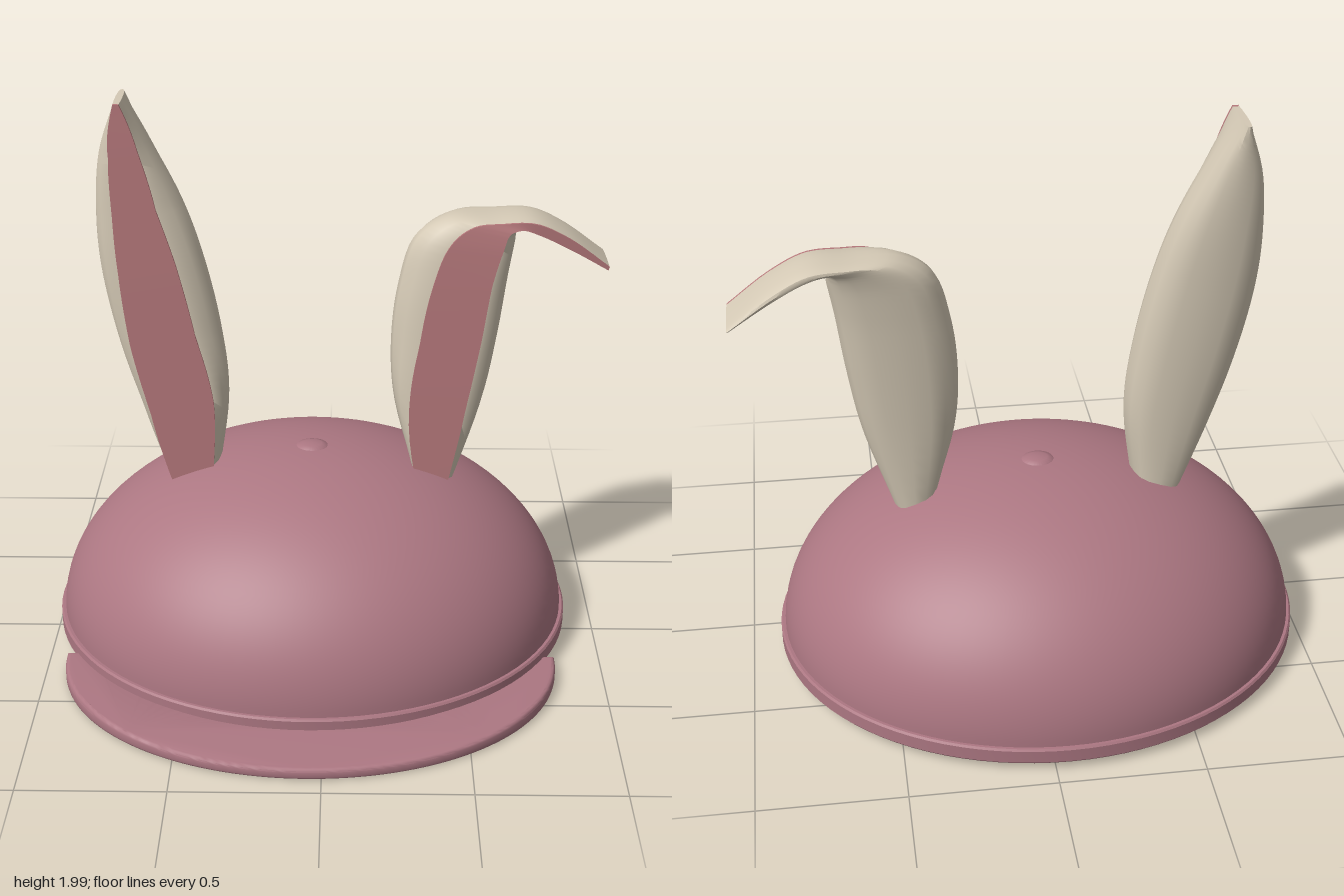
import * as THREE from 'three';
import { toCreasedNormals } from 'three/addons/utils/BufferGeometryUtils.js';

const CX = -0.05, CZ = -0.107, SQUASH = 0.88;
const shell = new THREE.MeshStandardMaterial({ color: 0xac7782 });
const fur = new THREE.MeshStandardMaterial({ color: 0xd4c9b5 });
const lining = new THREE.MeshStandardMaterial({ color: 0xb5787b });

function addMesh(parent, name, geometry, material) {
  const mesh = new THREE.Mesh(geometry, material);
  mesh.name = name;
  parent.add(mesh);
  return mesh;
}

// Lathe around the cap's axis, slightly shorter front to back
function capLathe(points, crease) {
  const pts = points.map(([r, y]) => new THREE.Vector2(r, y));
  const geo = new THREE.LatheGeometry(pts, 96);
  geo.scale(1, 1, SQUASH);
  geo.translate(CX, 0, CZ);
  return toCreasedNormals(geo, crease);
}

// Quarter-ellipse profile, from rim to crown or back
function domeArc(r, y0, h, n, down) {
  return Array.from({ length: n + 1 }, (_, i) => {
    const a = (down ? 1 - i / n : i / n) * Math.PI / 2;
    return [Math.max(r * Math.cos(a), 0), y0 + h * Math.sin(a)];
  });
}

// Crescent brim following the rim on its inner edge
function brimGeometry() {
  const shape = new THREE.Shape();
  shape.absellipse(CX, 0.28, 0.865, 0.64, 0, Math.PI, false);
  const rx = 0.915, rz = 0.805, start = Math.asin((0.28 - CZ) / rz);
  shape.absellipse(CX, CZ, rx, rz, Math.PI - start, start, true);
  const geo = new THREE.ExtrudeGeometry(shape, {
    depth: 0.026, bevelThickness: 0.014, bevelSize: 0.014, bevelSegments: 3, curveSegments: 64,
  });
  geo.rotateX(Math.PI / 2);
  geo.translate(0, 0.041, 0);
  // thin the brim towards its front edge
  const p = geo.attributes.position;
  for (let i = 0; i < p.count; i++) {
    const t = Math.max(0, (p.getZ(i) - 0.6) / 0.33);
    p.setY(i, p.getY(i) * (1 - 0.25 * t));
  }
  return toCreasedNormals(geo, 0.7);
}

// Ear stations: left x, left y, right x, right y, lining start and end across the width
const uprightEar = [
  [-0.55, 0.57, -0.39, 0.60, 0.02, 0.88],
  [-0.66, 0.86, -0.35, 0.92, 0.11, 0.84],
  [-0.74, 1.12, -0.375, 1.18, 0.14, 0.77],
  [-0.79, 1.38, -0.435, 1.45, 0.20, 0.76],
  [-0.80, 1.58, -0.50, 1.64, 0.23, 0.73],
  [-0.78, 1.80, -0.60, 1.84, 0.25, 0.80],
  [-0.715, 1.99, -0.69, 1.99, 0.10, 0.90],
];
const foldedEar = [
  [0.33, 0.58, 0.46, 0.57, 0.02, 0.82],
  [0.245, 0.90, 0.565, 0.90, 0.17, 0.80],
  [0.232, 1.12, 0.61, 1.14, 0.26, 0.83],
  [0.255, 1.33, 0.64, 1.36, 0.30, 0.84],
  [0.31, 1.50, 0.66, 1.48, 0.34, 0.87],
  [0.42, 1.573, 0.668, 1.53, 0.35, 0.87],
  [0.58, 1.58, 0.685, 1.543, 0.30, 0.90],
  [0.72, 1.577, 0.735, 1.525, 0.20, 0.95],
  [0.84, 1.52, 0.835, 1.475, 0.15, 0.95],
  [0.99, 1.405, 0.985, 1.39, 0.10, 0.90],
];

// Loft a cross-section (u across the ear, v front to back) along the stations
function loftEar(stations, section, steps, zBase, zTip) {
  const curve = (k) => new THREE.CatmullRomCurve3(
    stations.map((s) => new THREE.Vector3(s[k], s[k + 1], 0)), false, 'centripetal');
  const [left, right, panel] = [curve(0), curve(2), curve(4)];
  const pos = [], idx = [];
  let n = 0;
  for (let j = 0; j <= steps; j++) {
    const t = j / steps;
    const l = left.getPoint(t), r = right.getPoint(t);
    const s = t * (stations.length - 1), k = Math.min(Math.floor(s), stations.length - 2);
    const mix = (c) => THREE.MathUtils.lerp(stations[k][c], stations[k + 1][c], s - k);
    const ring = section(mix(4), mix(5));
    n = ring.length;
    const zf = THREE.MathUtils.lerp(zBase[0], zTip[0], t);
    const zb = THREE.MathUtils.lerp(zBase[1], zTip[1], t);
    for (const [u, v] of ring) {
      const p = l.clone().lerp(r, u);
      pos.push(p.x, p.y, zf + (zb - zf) * v);
    }
  }
  for (let j = 0; j < steps; j++) {
    for (let i = 0; i < n; i++) {
      const a = j * n + i, b = j * n + (i + 1) % n;
      idx.push(a, a + n, b + n, a, b + n, b);
    }
  }
  // end caps
  const top = steps * n;
  for (let i = 1; i < n - 1; i++) idx.push(0, i, i + 1, top, top + i + 1, top + i);
  const geo = new THREE.BufferGeometry();
  geo.setAttribute('position', new THREE.Float32BufferAttribute(pos, 3));
  geo.setIndex(idx);
  return toCreasedNormals(geo, 0.75);
}

const furSection = (a, b) => [
  [a, 0], [a * 0.4, 0.14], [0.02, 0.32], [0, 0.5], [0.05, 0.74], [0.14, 0.9], [0.28, 0.98], [0.5, 1],
  [0.72, 0.98], [0.86, 0.9], [0.95, 0.74], [1, 0.5], [0.98, 0.32], [1 - (1 - b) * 0.4, 0.14], [b, 0],
];
const liningSection = (a, b) => [[b, 0.02], [b, -0.05], [a, -0.05], [a, 0.02]];

function makeEar(name, stations, zBase, zTip) {
  const ear = new THREE.Group();
  ear.name = name;
  addMesh(ear, 'earFur', loftEar(stations, furSection, 48, zBase, zTip), fur);
  addMesh(ear, 'earLining', loftEar(stations, liningSection, 48, zBase, zTip), lining);
  return ear;
}

export function createModel() {
  const model = new THREE.Group();
  model.name = 'rabbitEarCap';

  // hollow dome, outer wall then inner wall
  const dome = [...domeArc(0.93, 0.08, 0.633, 32, false).reverse(),
    ...domeArc(0.912, 0.06, 0.635, 32, true).reverse()].reverse();
  addMesh(model, 'dome', capLathe(dome, 0.6), shell).material.side = THREE.DoubleSide;

  // rim band
  addMesh(model, 'rim', capLathe([[0.905, 0.03], [0.94, 0.03], [0.946, 0.037], [0.946, 0.083],
    [0.94, 0.09], [0.92, 0.09], [0.905, 0.08], [0.905, 0.03]], 0.5), shell);

  // crown button
  addMesh(model, 'crownButton', capLathe([[0.062, 0.705], [0.055, 0.714], [0.035, 0.72], [0, 0.722]], 0.8), shell);

  addMesh(model, 'brim', brimGeometry(), shell);

  model.add(makeEar('rightEar', uprightEar, [-0.035, -0.22], [-0.078, -0.272]));
  model.add(makeEar('leftEar', foldedEar, [-0.035, -0.22], [-0.13, -0.32]));
  return model;
}
